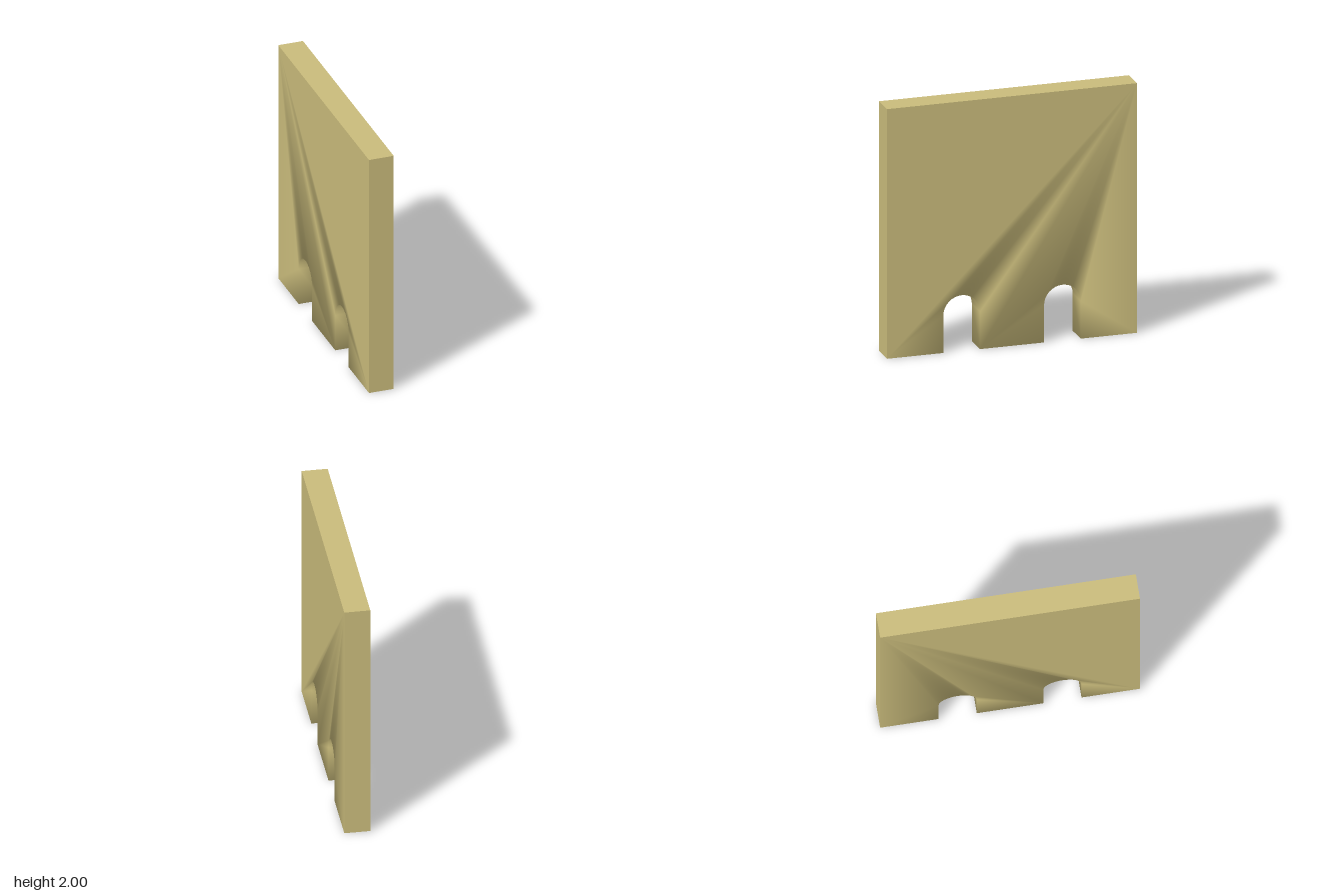
import * as THREE from 'three';

const HALF = 0.1;       // half the wall thickness
const RADIUS = 0.147;   // arch radius
const SPRING = 0.3;     // height where the arch starts to curve
const STEPS = 16;

// Doorway outline from floor to floor; ny, nz point into the opening.
// The foot points also lean down, so their shading blends with the underside.
function archOutline(centre) {
  const points = [{ z: centre + RADIUS, y: 0, nz: -1, ny: -1 }];
  for (let i = 0; i <= STEPS; i++) {
    const c = Math.cos((Math.PI * i) / STEPS), s = Math.sin((Math.PI * i) / STEPS);
    points.push({ z: centre + RADIUS * c, y: SPRING + RADIUS * s, nz: -c, ny: -s });
  }
  points.push({ z: centre - RADIUS, y: 0, nz: 1, ny: -1 });
  return points;
}

const range = (from, to) => Array.from({ length: to - from + 1 }, (_, i) => from + i);

function wallGeometry() {
  const archA = archOutline(0.403), archB = archOutline(-0.403);
  const outline = [
    { z: 1, y: 0 }, ...archA, ...archB,
    { z: -1, y: 0 }, { z: -1, y: 2 }, { z: 1, y: 2 },
  ];
  const n = archA.length;
  const frontFoot = 0, footA = n, startB = n + 1, endB = 2 * n;
  const backFoot = endB + 1, backTop = endB + 2, frontTop = endB + 3;
  const positions = [], normals = [];

  // One triangle: corners are [outline index, side], turned to face along "face".
  // Doorway rims have soft normals, the outer corners stay sharp.
  function triangle(corners, face) {
    const v = corners.map(([i, side]) => new THREE.Vector3(side * HALF, outline[i].y, outline[i].z));
    const cross = v[1].clone().sub(v[0]).cross(v[2].clone().sub(v[0]));
    const order = cross.dot(face) < 0 ? [0, 2, 1] : [0, 1, 2];
    for (const k of order) {
      const [i, side] = corners[k];
      const p = outline[i];
      const normal = p.nz === undefined ? face : new THREE.Vector3(side, p.ny, p.nz).normalize();
      positions.push(...v[k].toArray());
      normals.push(...normal.toArray());
    }
  }

  // Two broad sides, as fans from the corners round the doorways
  const crownA = 6, crownB = startB + 4;
  const fans = [
    [frontFoot, [...range(1, crownA), backTop, frontTop]],
    [backTop, [...range(crownA, footA), ...range(crownB, endB - 1), backFoot]],
    [footA, range(startB, crownB)],
    [backFoot, [endB - 1, endB]],
  ];
  for (const side of [-1, 1]) {
    const face = new THREE.Vector3(side, 0, 0);
    for (const [apex, rim] of fans) {
      for (let i = 0; i + 1 < rim.length; i++) {
        triangle([[apex, side], [rim[i], side], [rim[i + 1], side]], face);
      }
    }
  }

  // Thickness: ends, top, underside and doorway linings
  outline.forEach((a, i) => {
    const j = (i + 1) % outline.length, b = outline[j];
    const face = new THREE.Vector3(0, b.z - a.z, a.y - b.y).normalize();
    triangle([[i, -1], [j, -1], [j, 1]], face);
    triangle([[i, -1], [j, 1], [i, 1]], face);
  });

  const geometry = new THREE.BufferGeometry();
  geometry.setAttribute('position', new THREE.Float32BufferAttribute(positions, 3));
  geometry.setAttribute('normal', new THREE.Float32BufferAttribute(normals, 3));
  return geometry;
}

export function createModel() {
  const sandstone = new THREE.MeshStandardMaterial({ color: 0xc9bb7b });
  sandstone.name = 'sandstone';

  const wall = new THREE.Mesh(wallGeometry(), sandstone);
  wall.name = 'archedWall';

  const model = new THREE.Group();
  model.name = 'wallWithTwoArches';
  model.add(wall);
  return model;
}
